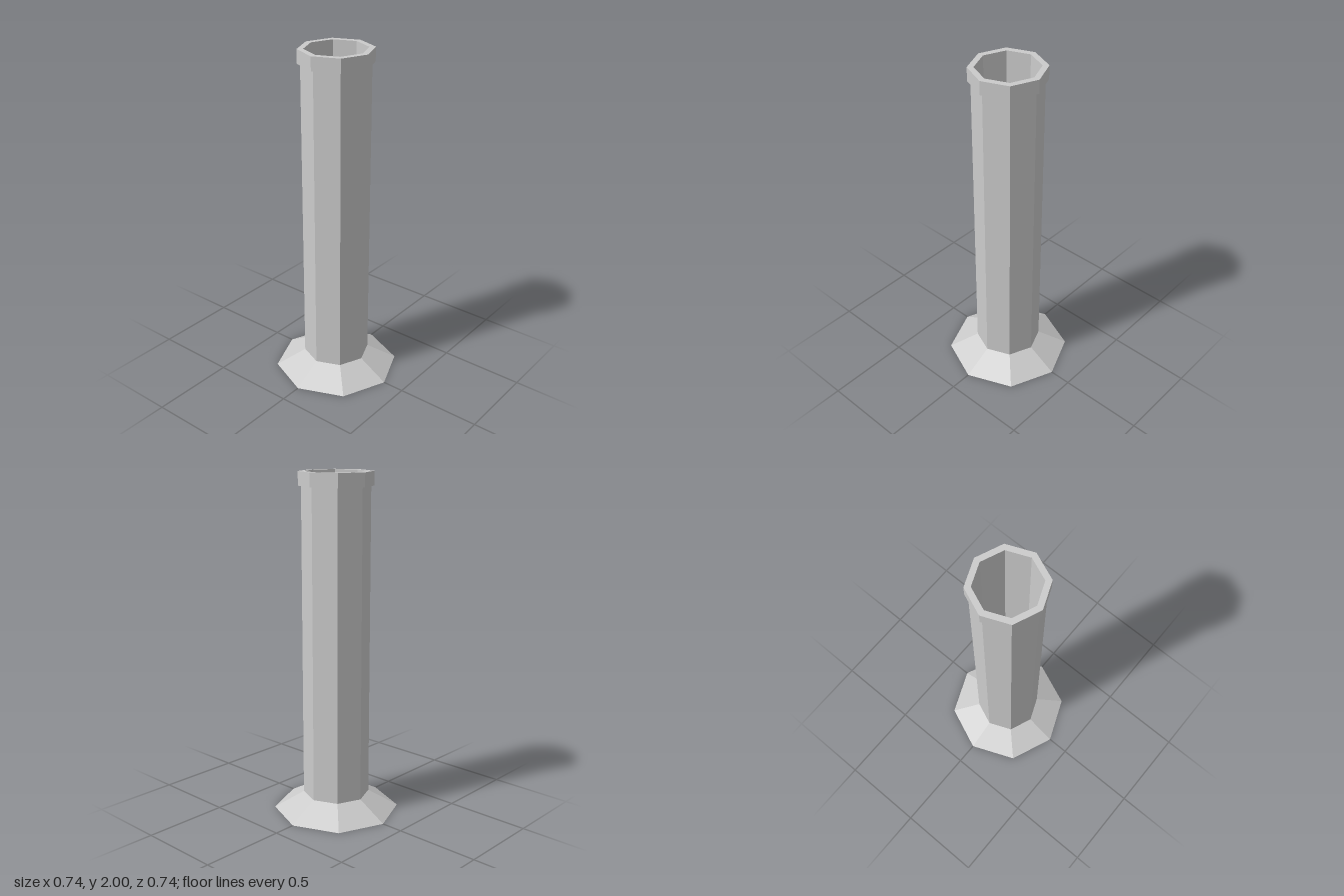
import * as THREE from 'three';

const SIDES = 8;
const material = new THREE.MeshStandardMaterial({ color: 0xcccccc, flatShading: true });

// Eight-sided turned part from [radius, height] pairs, outside going up
function turned(name, profile) {
  const points = profile.map(([r, y]) => new THREE.Vector2(r, y));
  const mesh = new THREE.Mesh(new THREE.LatheGeometry(points, SIDES), material);
  mesh.name = name;
  return mesh;
}

export function createModel() {
  const footR = 0.37, shaftR = 0.195, collarR = 0.212, boreR = 0.177;
  const footTop = 0.1, collarBase = 1.92, top = 2;

  const group = new THREE.Group();
  group.name = 'hollowColumn';
  group.add(
    // Flared foot with a closed underside
    turned('foot', [[0, 0], [footR, 0], [shaftR, footTop]]),
    // Straight shaft
    turned('shaft', [[shaftR, footTop], [shaftR, collarBase]]),
    // Collar with its underside and flat rim
    turned('collar', [[shaftR, collarBase], [collarR, collarBase], [collarR, top], [boreR, top]]),
    // Inner wall and floor
    turned('bore', [[boreR, top], [boreR, footTop], [0, footTop]])
  );
  return group;
}
